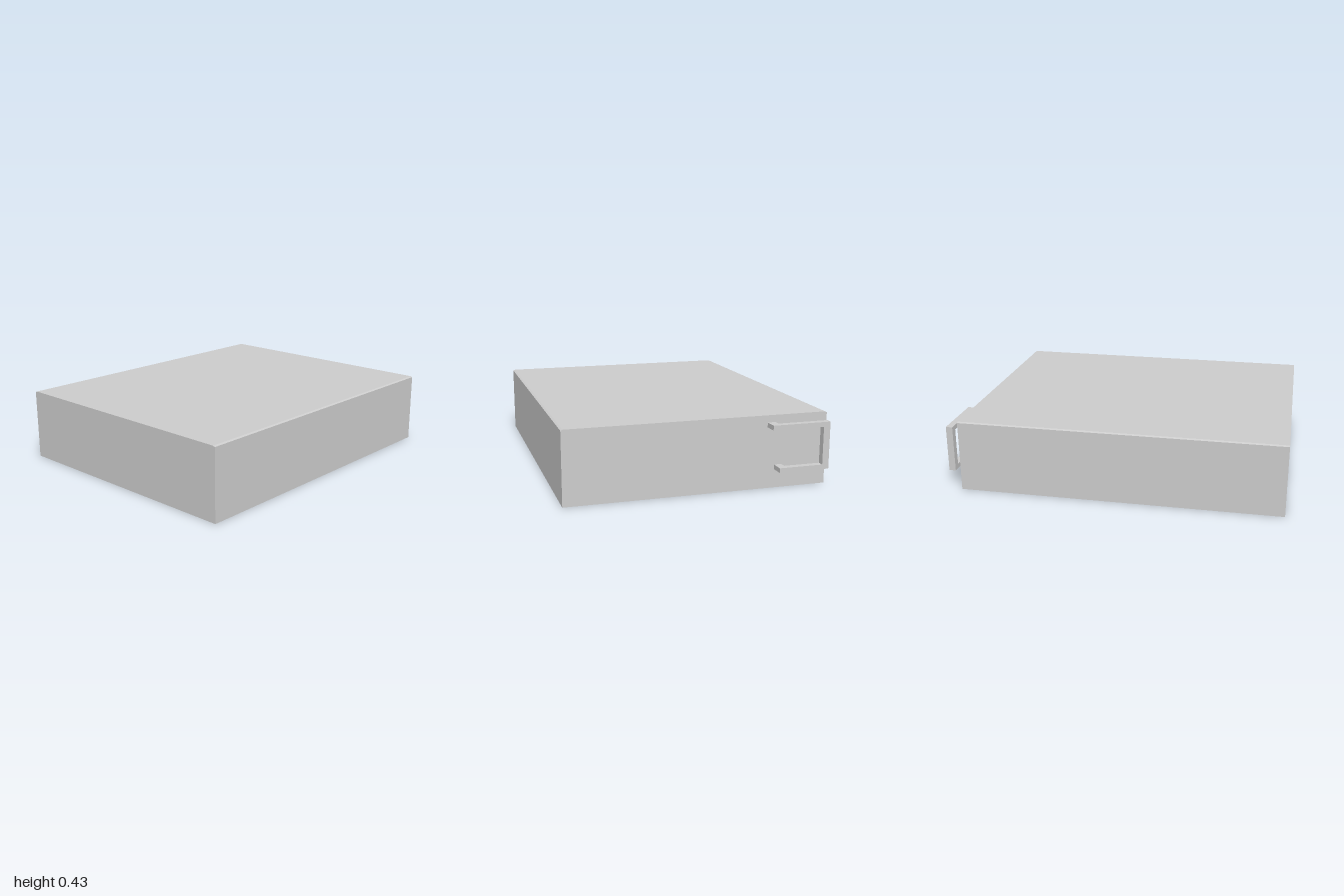
import * as THREE from 'three';

const material = new THREE.MeshStandardMaterial({ color: 0xcccccc, flatShading: true });

// Box given by its lower and upper corners
function block(name, [x0, y0, z0], [x1, y1, z1]) {
  const mesh = new THREE.Mesh(new THREE.BoxGeometry(x1 - x0, y1 - y0, z1 - z0), material);
  mesh.position.set((x0 + x1) / 2, (y0 + y1) / 2, (z0 + z1) / 2);
  mesh.name = name;
  return mesh;
}

export function createModel() {
  const model = new THREE.Group();
  model.name = 'caseWithBracket';

  // Main case: front outline with slightly eased top edges, extruded along z
  const w = 0.777, h = 0.43, back = -0.92, front = 1;
  const outline = new THREE.Shape([
    [-w, 0], [w, 0], [w, h - 0.005], [w - 0.012, h], [-w + 0.012, h], [-w, h - 0.005],
  ].map(([x, y]) => new THREE.Vector2(x, y)));
  const body = new THREE.Mesh(
    new THREE.ExtrudeGeometry(outline, { depth: front - back, bevelEnabled: false }), material);
  body.position.z = back;
  body.name = 'caseBody';
  model.add(body);

  // C-shaped bracket standing off the back
  const bracket = new THREE.Group();
  bracket.name = 'backBracket';
  const left = -0.76, bar = 0.04, outer = -1, inner = -0.96;
  const lowEnd = -0.455, highEnd = -0.408;
  const c = new THREE.Shape([
    [left, 0.11], [lowEnd, 0.11], [lowEnd, 0.137], [left + bar, 0.137],
    [left + bar, 0.36], [highEnd, 0.36], [highEnd, 0.388], [left, 0.388],
  ].map(([x, y]) => new THREE.Vector2(x, y)));
  const frame = new THREE.Mesh(
    new THREE.ExtrudeGeometry(c, { depth: inner - outer, bevelEnabled: false }), material);
  frame.position.z = outer;
  frame.name = 'bracketFrame';

  // Feet joining the arm ends to the case
  bracket.add(
    frame,
    block('lowerFoot', [lowEnd - 0.045, 0.11, inner], [lowEnd, 0.137, back]),
    block('upperFoot', [highEnd - 0.047, 0.36, inner], [highEnd, 0.388, back]),
  );
  model.add(bracket);
  return model;
}
